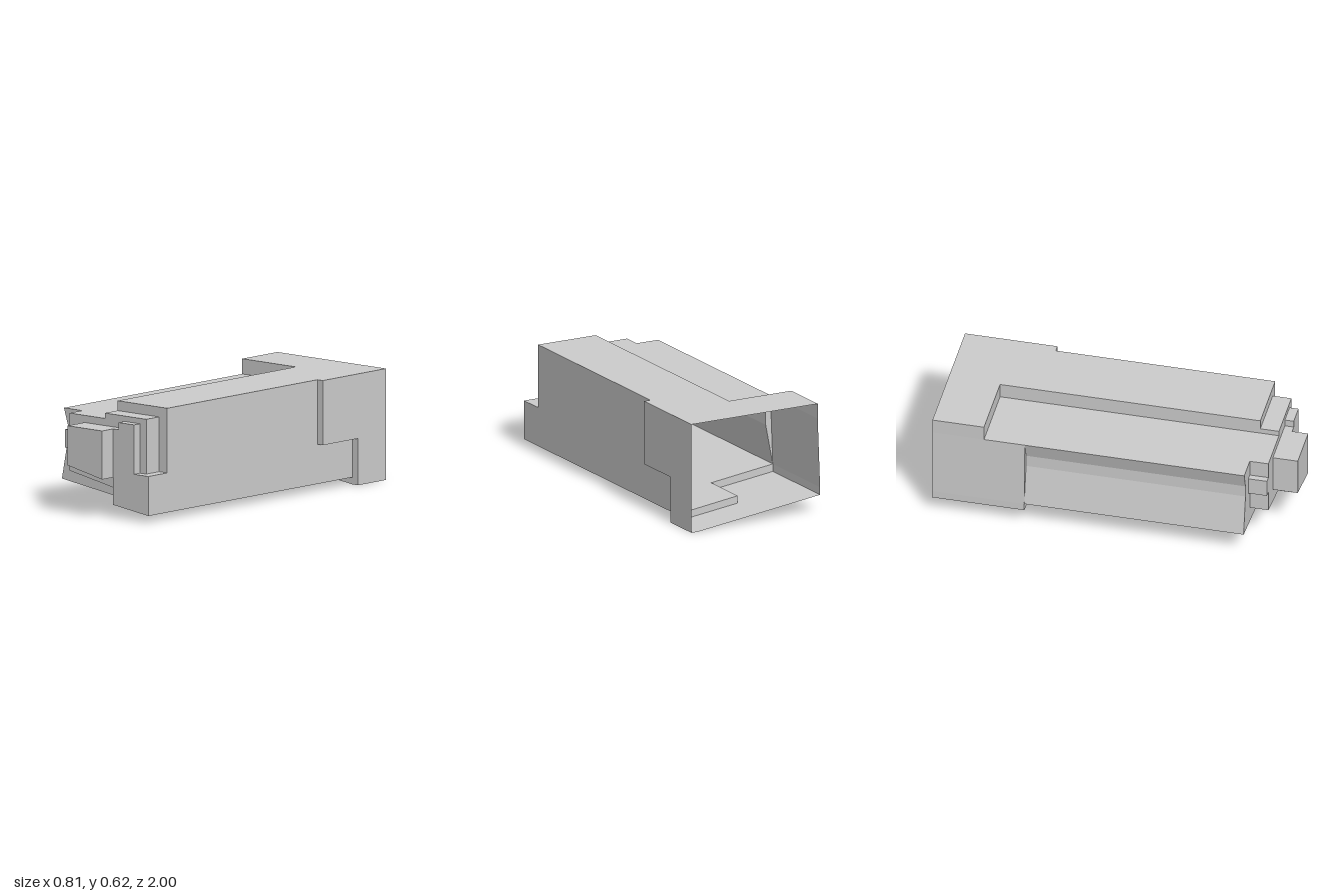
import * as THREE from 'three';

// Depths of the steps along z
const BACK = -1, NOTCH = -0.77, RECESS = -0.71, SLEEVE = -0.48;
const BODY = 0.755, MID = 0.86, LEG = 0.91, TIP = 1;

const material = new THREE.MeshStandardMaterial({
  color: 0xcccccc, flatShading: true, side: THREE.DoubleSide,
});

// Open sheet swept along z from a chain of [x, y] points
function wall(points, z0, z1) {
  const v = [];
  for (let i = 0; i < points.length - 1; i++) {
    const [ax, ay] = points[i], [bx, by] = points[i + 1];
    v.push(ax, ay, z0, bx, by, z0, bx, by, z1, ax, ay, z0, bx, by, z1, ax, ay, z1);
  }
  const g = new THREE.BufferGeometry();
  g.setAttribute('position', new THREE.Float32BufferAttribute(v, 3));
  g.computeVertexNormals();
  return g;
}

// Flat polygon facing the front at depth z
function face(points, z) {
  const shape = new THREE.Shape(points.map(([x, y]) => new THREE.Vector2(x, y)));
  return new THREE.ShapeGeometry(shape).translate(0, 0, z);
}

function part(name, geometries) {
  const group = new THREE.Group();
  group.name = name;
  geometries.forEach((g, i) => {
    const mesh = new THREE.Mesh(g, material);
    mesh.name = `${name}Panel${i + 1}`;
    group.add(mesh);
  });
  return group;
}

const close = (points) => [...points, points[0]];

export function createModel() {
  const model = new THREE.Group();
  model.name = 'steppedHousing';

  // Cross-section chains shared by neighbouring parts
  const groove = [[-0.395, 0.535], [-0.365, 0.44], [-0.365, 0.37], [-0.41, 0.14]];
  const collarLeft = [[-0.26, 0.535], [-0.26, 0.44], [-0.295, 0.44], [-0.295, 0.34],
    [-0.26, 0.34], [-0.26, 0.215], [0.105, 0.15]];
  const collarRight = [[0.305, 0.26], [0.305, 0.565], [0, 0.565], [0, 0.535]];
  const plug = [[-0.15, 0.495], [-0.15, 0.275], [0.105, 0.225], [0.105, 0.495]];
  const leg = [[0.105, 0.073], [0.365, 0.04], [0.365, 0.26], [0.26, 0.26],
    [0.26, 0.535], [0.145, 0.535], [0.145, 0.495], [0.105, 0.495]];

  // Long hollow body, with a grooved left side and a lowered left roof
  model.add(part('body', [
    wall([[0.365, 0.04], [0.365, 0.26]], NOTCH, BODY),
    wall([[0.365, 0.26], [0.365, 0.62]], SLEEVE, BODY),
    wall([[0.365, 0.62], [0, 0.62], [0, 0.535], [-0.395, 0.535]], RECESS, BODY),
    wall(groove, SLEEVE, BODY),
    wall([[-0.41, 0.14], [-0.02, 0.09]], SLEEVE, BODY),
    wall([[-0.02, 0.09], [0.365, 0.04]], NOTCH, BODY),
    face([...groove, [0.105, 0.073], ...[...collarLeft].reverse()], BODY),
    face([[0, 0.62], [0, 0.565], [0.305, 0.565], [0.305, 0.26], [0.365, 0.26], [0.365, 0.62]], BODY),
  ]));

  // Wider sleeve, open at the back
  model.add(part('rearSleeve', [
    wall([[-0.395, 0.535], [-0.395, 0.62], [0.405, 0.62]], BACK, RECESS),
    wall([[0.365, 0.62], [0.405, 0.62]], RECESS, SLEEVE),
    wall([[0.405, 0.62], [0.405, 0.26]], BACK, SLEEVE),
    wall([[0.405, 0.26], [0.405, 0], [0.365, 0], [-0.02, 0.048]], BACK, NOTCH),
    wall([[-0.02, 0.048], [-0.41, 0.097], [-0.41, 0.14], [-0.395, 0.535]], BACK, SLEEVE),
  ]));

  // Shoulders joining the sleeve to the narrower body
  model.add(part('sleeveShoulders', [
    face([[-0.395, 0.535], [0, 0.535], [0, 0.62], [-0.395, 0.62]], RECESS),
    face([[0.365, 0.26], [0.405, 0.26], [0.405, 0.62], [0.365, 0.62]], SLEEVE),
    face(groove, SLEEVE),
    face([[-0.41, 0.097], [-0.02, 0.048], [-0.02, 0.09], [-0.41, 0.14]], SLEEVE),
    face([[-0.02, 0.048], [0.365, 0], [0.405, 0], [0.405, 0.26], [0.365, 0.26],
      [0.365, 0.04], [-0.02, 0.09]], NOTCH),
    wall([[0.365, 0.26], [0.405, 0.26]], NOTCH, SLEEVE),
    wall([[-0.02, 0.048], [-0.02, 0.09]], NOTCH, SLEEVE),
  ]));

  // First step at the front
  model.add(part('frontCollar', [
    wall([...collarLeft, [0.105, 0.073], [0.365, 0.04], [0.365, 0.26],
      ...collarRight, [-0.26, 0.535]], BODY, MID),
    face([...collarLeft, [0.105, 0.225], [-0.15, 0.275], [-0.15, 0.495], [0.145, 0.495],
      [0.145, 0.535], [0.26, 0.535], [0.26, 0.26], ...collarRight], MID),
  ]));

  // Upright leg on the left of the front, reaching down to the floor
  model.add(part('frontLeg', [
    wall([[0.105, 0.225], ...leg], MID, LEG),
    face(leg, LEG),
  ]));

  // Foremost plug with a slanted underside
  model.add(part('frontPlug', [
    wall(plug.slice(0, 3), MID, TIP),
    wall([plug[3], plug[0]], MID, TIP),
    wall([plug[2], plug[3]], LEG, TIP),
    face(plug, TIP),
  ]));

  return model;
}
